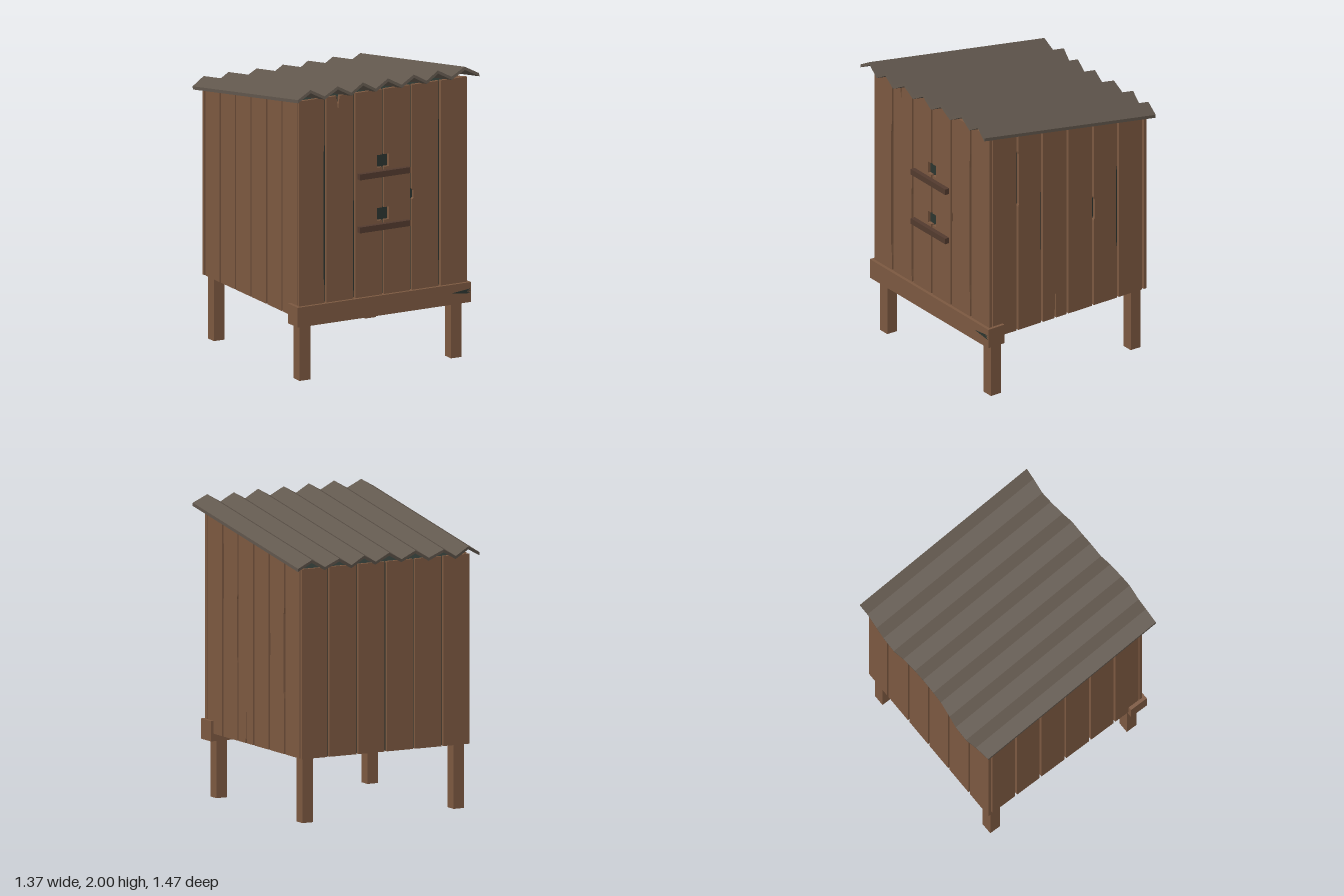
import * as THREE from 'three';

const mat = (name, color, side = THREE.FrontSide) => {
  const m = new THREE.MeshStandardMaterial({ color, side });
  m.name = name;
  return m;
};

const SLOPE = 0.17, FLOOR = 0.43, THICK = 0.022;
const wallTop = z => 1.908 + SLOPE * (z - 0.63);

export function createModel() {
  const wood = mat('wood', 0x7b5840);
  const darkWood = mat('dark wood', 0x523a2e);
  const gap = mat('shadow gap', 0x2b342f);
  const roofing = mat('roofing', 0x60564c);

  const model = new THREE.Group();
  model.name = 'henHouse';
  const add = (name, geo, material, parent = model) => {
    const mesh = new THREE.Mesh(geo, material);
    mesh.name = name;
    parent.add(mesh);
    return mesh;
  };
  const box = (name, material, x0, x1, y0, y1, z0, z1) =>
    add(name, new THREE.BoxGeometry(x1 - x0, y1 - y0, z1 - z0)
      .translate((x0 + x1) / 2, (y0 + y1) / 2, (z0 + z1) / 2), material);
  const extrude = (pts, depth) => new THREE.ExtrudeGeometry(
    new THREE.Shape(pts.map(p => new THREE.Vector2(...p))), { depth, bevelEnabled: false });

  // Dark inner body with a sloping top, seen through the gaps and holes
  const bodyPts = [[-0.603, FLOOR + 0.004], [0.633, FLOOR + 0.004], [0.633, wallTop(-0.633) - 0.01], [-0.603, wallTop(0.603) - 0.01]];
  add('innerBody', extrude(bodyPts, 1.216).rotateY(Math.PI / 2).translate(-0.608, 0, 0), gap);

  // Points along a plank edge; a chip is [y0, y1, depth, taper], listed bottom to top
  const edgePoints = (u, dir, chips = []) => chips.flatMap(([y0, y1, d, s]) =>
    [[u, y0], [u + dir * d, y0 + s], [u + dir * d, y1 - s], [u, y1]]);

  // A wall of planks in its own plane (u to the viewer's right), turned into place
  function wall(name, joints, top, angle, offset, details = {}) {
    const group = new THREE.Group();
    group.name = name;
    model.add(group);
    for (let i = 0; i < joints.length - 1; i++) {
      const a = joints[i] + (i ? 0.008 : 0);
      const b = joints[i + 1] - (i < joints.length - 2 ? 0.008 : 0);
      const d = details[i] || {};
      const pts = [[a, FLOOR]];
      if (d.bottomCrack) {
        const [u, y] = d.bottomCrack;
        pts.push([u - 0.009, FLOOR], [u, y], [u + 0.006, FLOOR]);
      }
      pts.push([b, FLOOR], ...edgePoints(b, -1, d.right), [b, top(b)]);
      if (d.topCrack) {
        const [u, y] = d.topCrack;
        pts.push([u + 0.012, top(u)], [u, y], [u - 0.012, top(u)]);
      }
      pts.push([a, top(a)], ...edgePoints(a, 1, d.left).reverse());
      add('plank', extrude(pts, THICK).translate(0, 0, offset - THICK).rotateY(angle), wood, group);
    }
  }

  // Front wall with two square holes cut in the middle planks
  const holes = [[1.02, 1.105, 0.037, 0], [1.38, 1.465, 0.037, 0]];
  const across = [-0.632, -0.432, -0.213, 0, 0.213, 0.428, 0.632];
  wall('frontWall', across, () => wallTop(0.63), 0, 0.63, {
    0: { right: [[0.62, 1.6, 0.008, 0.08]] },
    1: { topCrack: [-0.338, 1.81], right: [[0.55, 1.2, 0.006, 0.05]] },
    2: { right: holes },
    3: { left: holes },
    4: { left: [[1.13, 1.2, 0.01, 0.01]], right: [[0.64, 1.7, 0.006, 0.1]] },
  });
  wall('backWall', across, () => wallTop(-0.64), Math.PI, 0.652);

  // Side walls, their tops following the roof
  const along = [-0.6, -0.4, -0.198, 0.01, 0.216, 0.42, 0.618];
  wall('rightWall', along, u => wallTop(-u), Math.PI / 2, 0.63, {
    1: { left: [[1.33, 1.73, 0.006, 0.02]], right: [[0.95, 1.4, 0.006, 0.03]] },
    2: { bottomCrack: [-0.088, 0.67] },
    4: { left: [[1.05, 1.22, 0.008, 0.02]], right: [[0.8, 1.4, 0.006, 0.04]] },
  });
  wall('leftWall', along.map(u => -u).reverse(), u => wallTop(u), -Math.PI / 2, 0.63);

  // Legs
  for (const x of [-0.57, 0.57])
    for (const z of [0.56, -0.58])
      box('leg', wood, x - 0.04, x + 0.04, 0, 0.44, z - 0.04, z + 0.04);

  // Front beam with a split at one end
  box('frontBeam', wood, -0.654, 0.651, 0.38, 0.515, 0.52, 0.652);
  const split = [[0.505, 0.457], [0.6, 0.445], [0.651, 0.44], [0.62, 0.453], [0.651, 0.457], [0.62, 0.461], [0.651, 0.473]];
  add('beamSplit', extrude(split, 0.002).translate(0, 0, 0.651), gap);

  // Perches under the holes
  for (const y of [0.98, 1.34]) box('perch', darkWood, -0.19, 0.19, y - 0.02, y + 0.02, 0.62, 0.662);

  // Corrugated roof sheet with uneven front and back edges
  const back = [0.695, 0.72, 0.725, 0.735, 0.71, 0.705, 0.69, 0.7, 0.69, 0.71, 0.713, 0.722, 0.702, 0.702, 0.69];
  const front = [0.705, 0.7, 0.716, 0.717, 0.727, 0.709, 0.709, 0.698, 0.708, 0.697, 0.696, 0.674, 0.682, 0.685, 0.705];
  const point = (i, z, drop) =>
    [(i - 7) * 0.0975, 1.945 + (i % 2) * 0.055 + SLOPE * (z - 0.72) - drop, z + drop * SLOPE];
  const rows = front.map((f, i) => [
    point(i, f, 0), point(i, -back[i], 0), point(i, -back[i], 0.021), point(i, f, 0.021)]);
  const pos = [];
  const quad = (a, b, c, d) => pos.push(...a, ...b, ...c, ...a, ...c, ...d);
  for (let i = 0; i < 14; i++)
    for (let k = 0; k < 4; k++) {
      const n = (k + 1) % 4;
      quad(rows[i][k], rows[i + 1][k], rows[i + 1][n], rows[i][n]);
    }
  quad(...rows[0]);
  quad(...[...rows[14]].reverse());
  const roof = new THREE.BufferGeometry();
  roof.setAttribute('position', new THREE.Float32BufferAttribute(pos, 3));
  roof.computeVertexNormals();
  add('roof', roof, roofing);

  return model;
}
